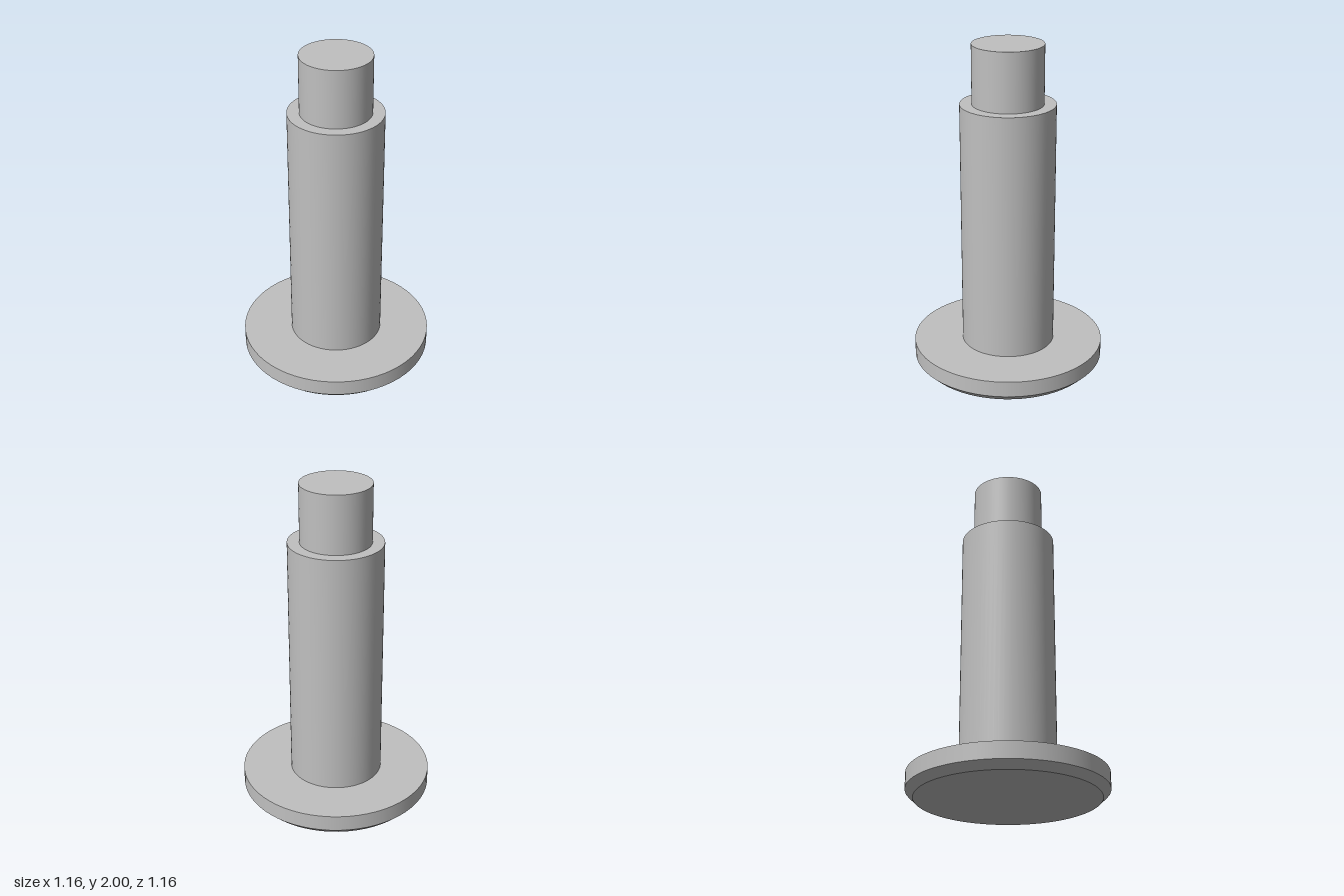
import * as THREE from 'three';

const SEGMENTS = 64;

export function createModel() {
  const model = new THREE.Group();
  model.name = 'steppedPin';

  const metal = new THREE.MeshStandardMaterial({ color: 0xc0c0c0 });
  metal.name = 'light grey metal';

  // Upright round section between two heights
  function addSection(name, topRadius, bottomRadius, bottom, top, open = false) {
    const geometry = new THREE.CylinderGeometry(topRadius, bottomRadius, top - bottom, SEGMENTS, 1, open);
    geometry.translate(0, (top + bottom) / 2, 0);
    const mesh = new THREE.Mesh(geometry, metal);
    mesh.name = name;
    model.add(mesh);
  }

  // Head: chamfered underside, straight rim and flat faces
  const head = new THREE.Group();
  head.name = 'flangeHead';
  model.add(head);
  addSection('headChamfer', 0.58, 0.535, 0, 0.044, true);
  addSection('headRim', 0.58, 0.58, 0.044, 0.142, true);
  head.add(...model.children.filter((part) => part.name.startsWith('head')));

  const underside = new THREE.Mesh(new THREE.CircleGeometry(0.535, SEGMENTS).rotateX(Math.PI / 2), metal);
  underside.name = 'headUnderside';
  const shoulder = new THREE.Mesh(new THREE.RingGeometry(0.282, 0.58, SEGMENTS).rotateX(-Math.PI / 2), metal);
  shoulder.name = 'headShoulder';
  shoulder.position.y = 0.142;
  head.add(underside, shoulder);

  // Shaft with the step around the tip
  addSection('shaft', 0.282, 0.282, 0.142, 1.647, true);
  const step = new THREE.Mesh(new THREE.RingGeometry(0.211, 0.282, SEGMENTS).rotateX(-Math.PI / 2), metal);
  step.name = 'shaftStep';
  step.position.y = 1.647;
  model.add(step);

  // Narrow tip with a flat end
  addSection('tip', 0.211, 0.211, 1.647, 2, true);
  const end = new THREE.Mesh(new THREE.CircleGeometry(0.211, SEGMENTS).rotateX(-Math.PI / 2), metal);
  end.name = 'tipEnd';
  end.position.y = 2;
  model.add(end);

  return model;
}
